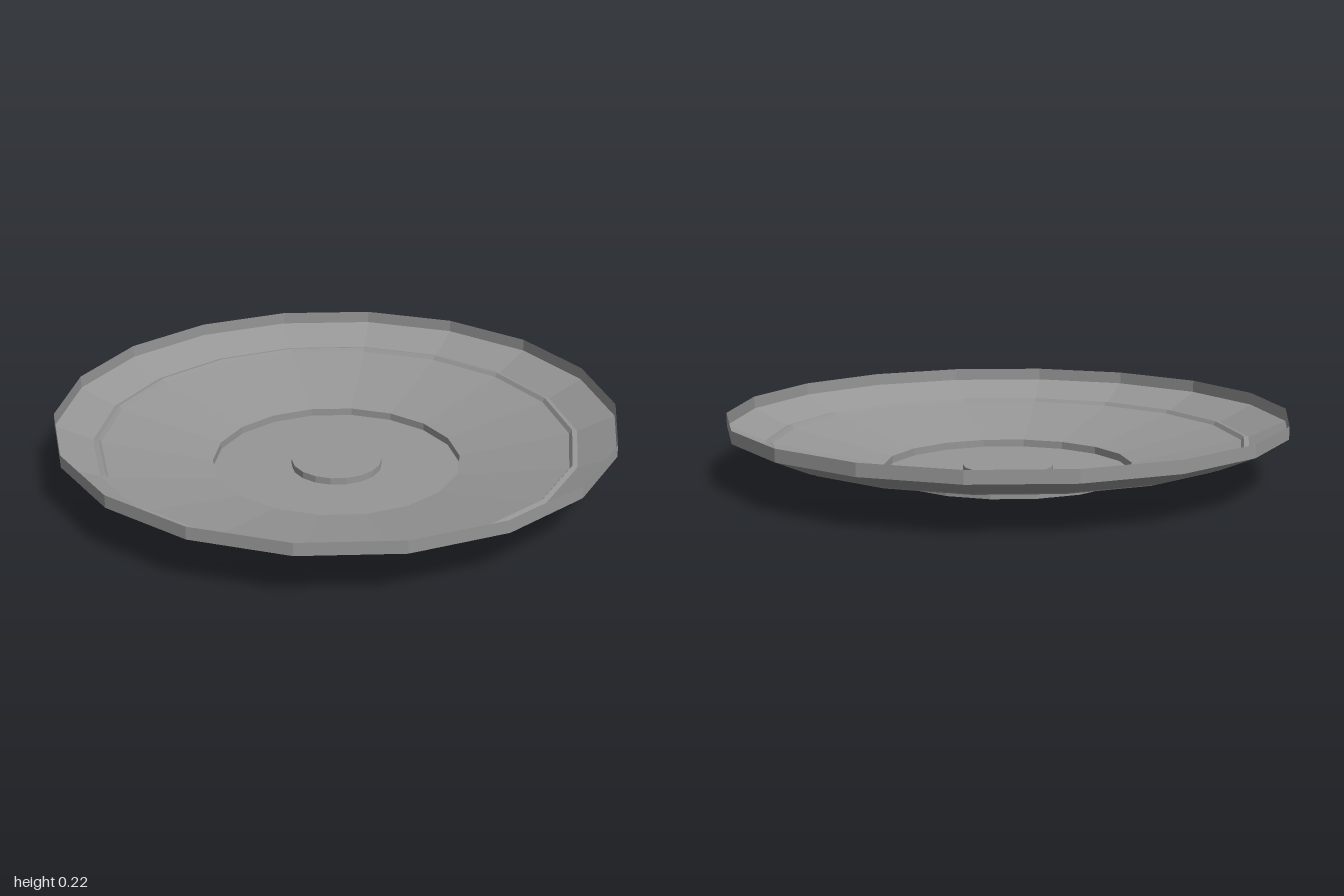
import * as THREE from 'three';

const SIDES = 18;
const material = new THREE.MeshStandardMaterial({
  color: 0x969696,
  flatShading: true,
  side: THREE.DoubleSide,
});

// Turns a [radius, height] profile into one faceted ring of the thin sheet
function ring(name, profile) {
  const points = profile.map(([r, y]) => new THREE.Vector2(r, y));
  const geometry = new THREE.LatheGeometry(points, SIDES, Math.PI / 2);
  const mesh = new THREE.Mesh(geometry, material);
  mesh.name = name;
  return mesh;
}

export function createModel() {
  const dish = new THREE.Group();
  dish.name = 'dish';

  // Raised disc in the middle and the step around it
  const centre = new THREE.Mesh(new THREE.CircleGeometry(0.162, SIDES), material);
  centre.rotation.x = -Math.PI / 2;
  centre.position.y = 0.025;
  centre.name = 'centreDisc';
  dish.add(centre, ring('centreStep', [[0.162, 0.025], [0.162, 0]]));

  // Flat base with its upright foot wall
  dish.add(ring('base', [[0.162, 0], [0.446, 0]]));
  dish.add(ring('footWall', [[0.446, 0], [0.446, 0.027]]));

  // Wide shallow bowl, then the small ridge at its edge
  dish.add(ring('bowl', [[0.446, 0.027], [0.84, 0.107]]));
  dish.add(ring('ridge', [[0.84, 0.107], [0.85, 0.121], [0.868, 0.117]]));

  // Sloping border and upright outer rim
  dish.add(ring('border', [[0.868, 0.117], [1, 0.175]]));
  dish.add(ring('rim', [[1, 0.175], [1, 0.22]]));

  return dish;
}
